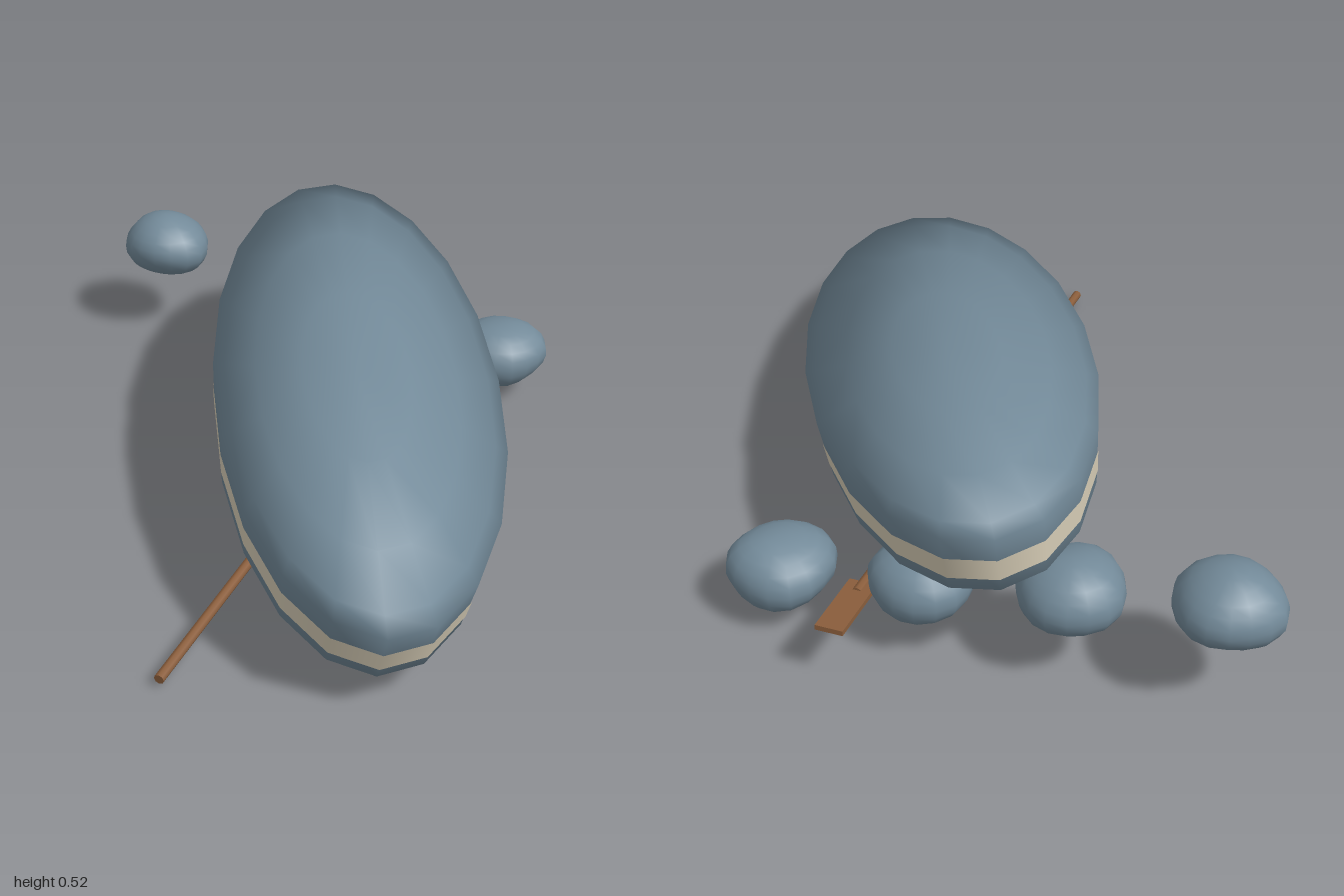
import * as THREE from 'three';
import { mergeVertices } from 'three/addons/utils/BufferGeometryUtils.js';

const material = (name, color) => {
  const m = new THREE.MeshStandardMaterial({ color });
  m.name = name;
  return m;
};

function part(name, geometry, mat) {
  const mesh = new THREE.Mesh(geometry, mat);
  mesh.name = name;
  return mesh;
}

// Apply a rule to every vertex position
function reshape(geometry, rule) {
  const p = geometry.attributes.position;
  const v = new THREE.Vector3();
  for (let i = 0; i < p.count; i++) {
    rule(v.fromBufferAttribute(p, i));
    p.setXYZ(i, v.x, v.y, v.z);
  }
  return geometry;
}

export function createModel() {
  const model = new THREE.Group();
  model.name = 'boatWithPaddleAndRocks';
  const slate = material('slateBlue', 0x738a99);
  const cream = material('cream', 0xd9cfb8);
  const wood = material('wood', 0x8b5e3c);

  // Boat: a squashed ball with a levelled deck and a flat keel
  const boat = new THREE.Group();
  boat.name = 'boat';
  const halfWidth = 0.401, halfLength = 1.03;
  const hull = new THREE.SphereGeometry(1, 20, 8).scale(halfWidth, 0.44, halfLength);
  reshape(hull, (v) => {
    if (v.y < -0.1 && v.y > -0.2) {
      v.x *= 1.034; // fuller sides below the rim
      v.z *= 1.034;
    }
    v.y = THREE.MathUtils.clamp(v.y, -0.325, 0);
  });
  boat.add(part('hull', hull, slate));

  // Painted band just below the rim
  const band = new THREE.CylinderGeometry(0.987, 0.97, 0.065, 20, 1, true);
  band.scale(halfWidth, 1, halfLength).translate(0, -0.0975, 0);
  boat.add(part('hullStripe', band, cream));

  // Heel and pitch of the boat
  const along = new THREE.Vector3(0.271, -0.117, 0.955).normalize();
  const across = new THREE.Vector3(0.119, 0.989, 0.087).cross(along).normalize();
  const up = along.clone().cross(across);
  boat.quaternion.setFromRotationMatrix(new THREE.Matrix4().makeBasis(across, up, along));
  boat.position.set(0.245, 0.405, 0.01);
  model.add(boat);

  // Paddle: round shaft along local z with a flat blade at the far end
  const paddle = new THREE.Group();
  paddle.name = 'paddle';
  const grip = new THREE.Vector3(-0.04, 0.036, 0.975);
  const neck = new THREE.Vector3(0.348, 0.173, -0.79);
  const length = grip.distanceTo(neck);
  const shaft = new THREE.CylinderGeometry(0.014, 0.014, length, 8).rotateX(Math.PI / 2);
  paddle.add(part('paddleShaft', shaft, wood));
  const blade = part('paddleBlade', new THREE.BoxGeometry(0.075, 0.014, 0.205), wood);
  blade.position.z = -length / 2 - 0.063;
  paddle.add(blade);
  paddle.position.copy(grip).lerp(neck, 0.5);
  paddle.lookAt(grip);
  model.add(paddle);

  // Row of rounded, slightly lumpy rocks
  for (let i = 0; i < 4; i++) {
    let stone = new THREE.SphereGeometry(1, 16, 12);
    stone.deleteAttribute('uv');
    stone.deleteAttribute('normal');
    stone = mergeVertices(stone, 1e-4);
    reshape(stone, (v) => {
      const lump = 1 + 0.035 * Math.sin(3 * v.x + 2 * v.y + i) + 0.03 * Math.cos(4 * v.z - 2 * v.x + i);
      v.multiplyScalar(lump);
    });
    stone.scale(0.143, 0.1, 0.138);
    stone.computeVertexNormals();
    const rock = part('rock' + (i + 1), stone, slate);
    rock.position.set(-0.585 + 0.386 * i, 0.3 - 0.05 * i, -0.865 + 0.063 * i);
    model.add(rock);
  }
  return model;
}
